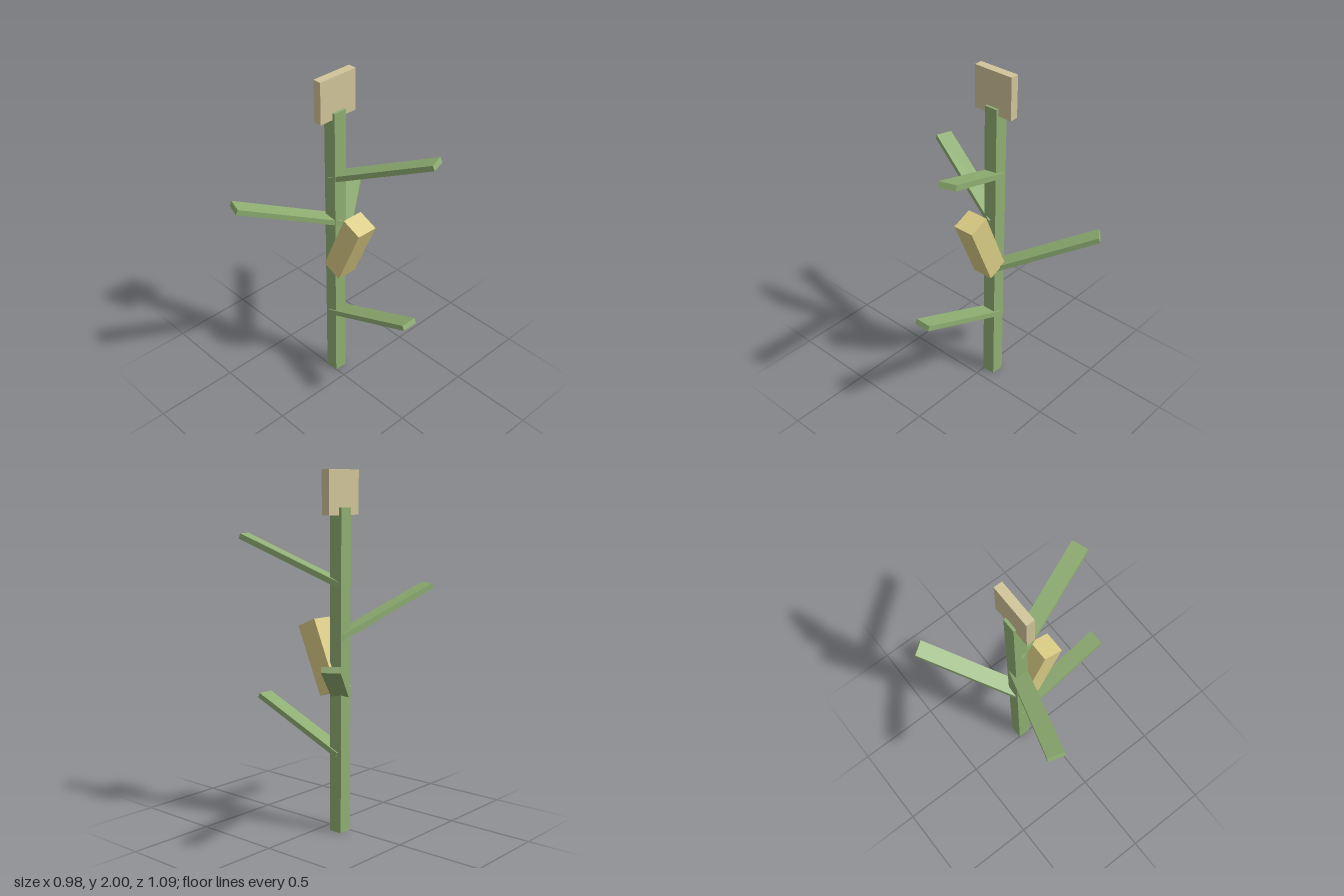
import * as THREE from 'three';

export function createModel() {
  const group = new THREE.Group();
  const green = new THREE.MeshStandardMaterial({ color: 0x8fae72, flatShading: true });
  const yellow = new THREE.MeshStandardMaterial({ color: 0xd9cb84, flatShading: true });
  const straw = new THREE.MeshStandardMaterial({ color: 0xd0c498, flatShading: true });

  // Everything grows around the stalk's axis
  const plant = new THREE.Group();
  plant.name = 'plant';
  plant.position.set(-0.105, 0, -0.037);
  group.add(plant);

  function box(name, size, position, material, tilt = 0, parent = plant) {
    const mesh = new THREE.Mesh(new THREE.BoxGeometry(...size), material);
    mesh.name = name;
    mesh.position.set(...position);
    mesh.rotation.z = tilt;
    parent.add(mesh);
    return mesh;
  }

  box('stalk', [0.08, 1.8, 0.08], [0, 0.9, 0], green);
  box('tassel', [0.049, 0.24, 0.245], [0, 1.88, 0], straw);
  box('cob', [0.127, 0.409, 0.127], [0.115, 0.983, 0.003], yellow, -0.4);

  // Rising leaves spiral up the stalk, 126 degrees apart
  [0.574, 0.903, 1.23, 1.514].forEach((y, i) => {
    const leaf = new THREE.Group();
    leaf.name = 'leaf' + (i + 1);
    leaf.rotation.y = THREE.MathUtils.degToRad(126 * i);
    box('leafBlade', [0.65, 0.031, 0.096], [0.287, y, 0], green, 0.4, leaf);
    plant.add(leaf);
  });

  return group;
}
